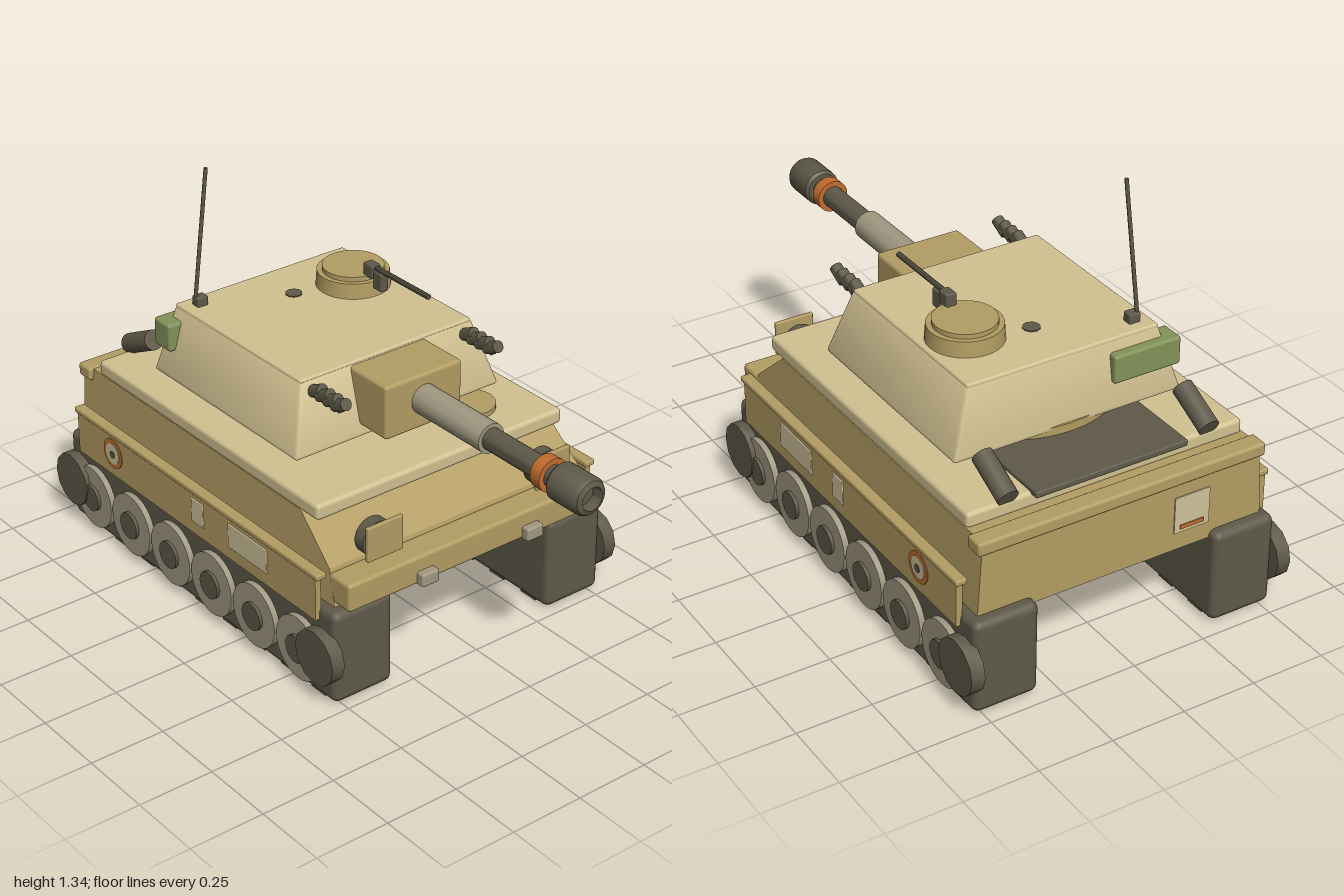
import * as THREE from 'three';
import { toCreasedNormals } from 'three/addons/utils/BufferGeometryUtils.js';
import { RoundedBoxGeometry } from 'three/addons/geometries/RoundedBoxGeometry.js';

const mat = (name, color) => {
  const m = new THREE.MeshStandardMaterial({ color });
  m.name = name;
  return m;
};

export function createModel() {
  const sand = mat('paleSand', 0xd2c292);
  const tan = mat('tan', 0xb39d63);
  const dark = mat('darkMetal', 0x5e5949);
  const grey = mat('wheelGrey', 0xa09881);
  const orange = mat('orange', 0xc26c2e);
  const green = mat('green', 0x83935a);
  const cream = mat('cream', 0xcfc29a);

  const tank = new THREE.Group();
  tank.name = 'tank';

  const add = (name, geo, material) => {
    const m = new THREE.Mesh(geo, material);
    m.name = name;
    tank.add(m);
    return m;
  };
  // Box given by its limits, with softened edges when r > 0
  const box = (name, material, [x0, x1], [y0, y1], [z0, z1], r = 0) => {
    const s = [x1 - x0, y1 - y0, z1 - z0];
    const geo = r ? new RoundedBoxGeometry(...s, 2, r) : new THREE.BoxGeometry(...s);
    const m = add(name, geo, material);
    m.position.set((x0 + x1) / 2, (y0 + y1) / 2, (z0 + z1) / 2);
    return m;
  };
  // Cylinder centred at a point, along axis 'x', 'y' or 'z'
  const cyl = (name, material, axis, r, len, [x, y, z], sides = 28, r2 = r) => {
    const geo = new THREE.CylinderGeometry(r2, r, len, sides);
    if (axis === 'x') geo.rotateZ(-Math.PI / 2);
    if (axis === 'z') geo.rotateX(Math.PI / 2);
    const m = add(name, toCreasedNormals(geo, 0.6), material);
    m.position.set(x, y, z);
    return m;
  };
  const span = (s, a, b) => (s > 0 ? [a, b] : [-b, -a]);

  // Hull: side profile extruded across, narrowing towards the top
  const profile = [[0.44, 0.3], [0.4, 0.44], [0.25, 0.57], [-0.92, 0.57], [-0.92, 0.3]];
  const hullGeo = new THREE.ExtrudeGeometry(
    new THREE.Shape(profile.map(([z, y]) => new THREE.Vector2(z, y))),
    { depth: 1, bevelEnabled: false });
  hullGeo.rotateY(-Math.PI / 2).translate(0.5, 0, 0);
  const hp = hullGeo.attributes.position;
  for (let i = 0; i < hp.count; i++) hp.setX(i, hp.getX(i) * (1 - (hp.getY(i) - 0.3) * 0.13));
  hullGeo.computeVertexNormals();
  add('hull', hullGeo, tan);
  box('frontBar', tan, [-0.495, 0.495], [0.335, 0.43], [0.4, 0.5], 0.012);
  box('rearLip', tan, [-0.5, 0.5], [0.53, 0.575], [-0.93, -0.865], 0.01);
  box('deck', sand, [-0.48, 0.48], [0.562, 0.615], [-0.835, 0.33], 0.014);
  box('engineGrille', dark, [-0.265, 0.265], [0.605, 0.627], [-0.86, -0.55], 0.006);
  cyl('driverHatch', tan, 'y', 0.088, 0.02, [0.255, 0.622, 0.14]);

  // Rear marking plate
  box('rearPlate', cream, [-0.305, -0.18], [0.36, 0.485], [-0.924, -0.919]);
  box('rearPlateStripe', orange, [-0.285, -0.2], [0.372, 0.386], [-0.927, -0.923]);

  for (const s of [1, -1]) {
    // Track with cleats underneath
    box('track', dark, span(s, 0.31, 0.53), [0.008, 0.325], [-0.96, 0.476], 0.025);
    for (let i = 0; i < 9; i++) {
      const z = 0.37 - i * 0.153;
      box('trackCleat', dark, span(s, 0.325, 0.515), [0, 0.02], [z - 0.035, z + 0.035]);
    }
    // Road wheels
    for (let i = 0; i < 6; i++) {
      const z = 0.315 - i * 0.224;
      cyl('roadWheel', grey, 'x', 0.108, 0.04, [s * 0.53, 0.14, z]);
      cyl('wheelHub', dark, 'x', 0.047, 0.05, [s * 0.536, 0.14, z], 16);
    }
    for (const z of [0.417, -0.908]) {
      cyl('driveWheel', dark, 'x', 0.092, 0.046, [s * 0.543, 0.166, z], 12);
    }
    // Side skirt, its rail and painted marks
    box('sideSkirt', tan, span(s, 0.524, 0.544), [0.28, 0.435], [-0.88, 0.4]);
    box('skirtRail', tan, span(s, 0.512, 0.55), [0.424, 0.444], [-0.89, 0.415], 0.006);
    box('skirtPatch', cream, span(s, 0.541, 0.547), [0.322, 0.408], [-0.04, 0.16], 0.0029);
    box('skirtPatch', cream, span(s, 0.541, 0.547), [0.322, 0.408], [-0.235, -0.17], 0.0029);
    cyl('roundelRing', orange, 'x', 0.052, 0.006, [s * 0.544, 0.363, -0.674]);
    cyl('roundelField', cream, 'x', 0.037, 0.006, [s * 0.546, 0.363, -0.674]);
    cyl('roundelDot', dark, 'x', 0.014, 0.006, [s * 0.548, 0.36, -0.674], 8);

    // Headlamp with guard plate, tow block
    cyl('headlamp', dark, 'z', 0.06, 0.04, [s * 0.33, 0.497, 0.41]);
    box('lampGuard', tan, span(s, 0.263, 0.397), [0.453, 0.57], [0.448, 0.463], 0.004);
    box('towBlock', grey, span(s, 0.174, 0.24), [0.335, 0.38], [0.48, 0.528], 0.008);

    // Exhaust
    cyl('exhaust', dark, 'z', 0.034, 0.155, [s * 0.35, 0.665, -0.775], 16).rotation.x = -0.46;

    // Smoke launchers
    for (let i = 0; i < 4; i++) {
      cyl('smokeLauncher', dark, 'z', 0.02, 0.06,
        [s * 0.295, 0.838, 0.09 + i * 0.038], 12).rotation.x = -0.45;
    }
    box('launcherMount', dark, span(s, 0.285, 0.305), [0.815, 0.838], [0.02, 0.21]);
  }

  // Turret: box tapered upward
  cyl('turretRing', tan, 'y', 0.35, 0.06, [0, 0.625, -0.29], 40);
  const h = 0.225;
  const turretGeo = new RoundedBoxGeometry(0.8, h, 0.755, 2, 0.012);
  const tp = turretGeo.attributes.position;
  for (let i = 0; i < tp.count; i++) {
    const t = tp.getY(i) / h + 0.5;
    tp.setX(i, tp.getX(i) * (1 - 0.17 * t));
    tp.setZ(i, tp.getZ(i) * (1 - 0.13 * t) - 0.012 * t);
  }
  turretGeo.computeVertexNormals();
  add('turret', toCreasedNormals(turretGeo, 0.5), sand).position.set(0, 0.64 + h / 2, -0.257);
  box('turretRoof', sand, [-0.333, 0.333], [0.845, 0.869], [-0.598, 0.058], 0.008);
  cyl('roofMark', dark, 'y', 0.028, 0.005, [0, 0.87, -0.42], 10);
  box('stowageBox', green, [-0.393, -0.155], [0.73, 0.825], [-0.635, -0.55], 0.01);

  // Gun
  box('mantlet', tan, [-0.148, 0.148], [0.675, 0.858], [-0.02, 0.235], 0.012);
  cyl('barrelSleeve', grey, 'z', 0.049, 0.35, [0, 0.772, 0.37]);
  cyl('barrel', dark, 'z', 0.036, 0.36, [0, 0.772, 0.7]);
  cyl('barrelBand', orange, 'z', 0.054, 0.04, [0, 0.772, 0.797]);
  const muzzle = [[0.028, 0.845], [0.052, 0.845], [0.061, 0.855], [0.061, 0.965], [0.054, 0.978],
    [0.038, 0.985], [0.034, 0.95], [0, 0.95]].map(([r, y]) => new THREE.Vector2(r, y));
  const muzzleGeo = new THREE.LatheGeometry(muzzle, 24).rotateX(Math.PI / 2);
  add('muzzle', toCreasedNormals(muzzleGeo, 0.6), dark).position.y = 0.772;

  // Cupola and machine gun
  cyl('cupola', tan, 'y', 0.121, 0.055, [0.196, 0.893, -0.365], 32, 0.117);
  cyl('cupolaLid', tan, 'y', 0.1, 0.018, [0.196, 0.927, -0.365], 32);
  box('gunBody', dark, [0.177, 0.213], [0.93, 0.977], [-0.29, -0.243], 0.006);
  box('gunMount', dark, [0.18, 0.21], [0.9, 0.962], [-0.245, -0.2], 0.006);
  cyl('gunBarrel', dark, 'z', 0.009, 0.27, [0.195, 0.967, -0.118], 10);

  // Antenna
  box('antennaBase', dark, [-0.295, -0.255], [0.865, 0.9], [-0.56, -0.525], 0.005);
  const a = new THREE.Vector3(-0.291, 0.87, -0.549), b = new THREE.Vector3(-0.252, 1.335, -0.522);
  add('antenna', new THREE.TubeGeometry(new THREE.LineCurve3(a, b), 1, 0.0065, 8), dark);
  cyl('antennaTip', dark, 'y', 0.0065, 0.004, [b.x, b.y, b.z], 8);

  return tank;
}
